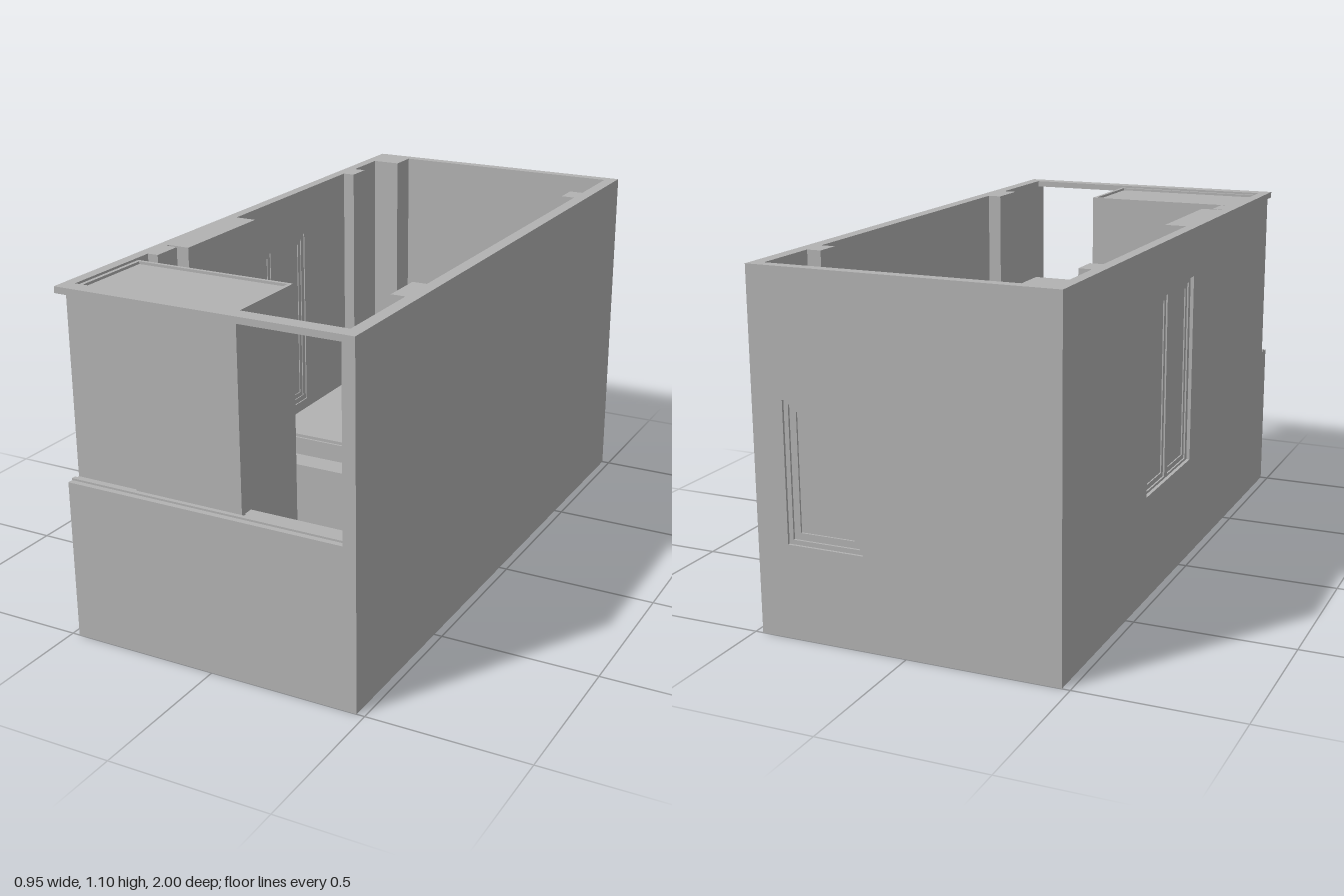
import * as THREE from 'three';

const plaster = new THREE.MeshStandardMaterial({ color: 0xb2b2b2 });
plaster.name = 'plaster grey';

const T = 0.035; // wall thickness
const H = 1.1; // wall height

function add(parent, name, geometry) {
  const mesh = new THREE.Mesh(geometry, plaster);
  mesh.name = name;
  parent.add(mesh);
  return mesh;
}

// Box given by its lower and upper corners
function block(parent, name, x0, x1, y0, y1, z0, z1) {
  const mesh = add(parent, name, new THREE.BoxGeometry(x1 - x0, y1 - y0, z1 - z0));
  mesh.position.set((x0 + x1) / 2, (y0 + y1) / 2, (z0 + z1) / 2);
  return mesh;
}

function outline(points, Type = THREE.Shape) {
  return new Type(points.map(([x, y]) => new THREE.Vector2(x, y)));
}

function rect(u0, u1, v0, v1, inset = 0) {
  return [
    [u0 + inset, v0 + inset], [u1 - inset, v0 + inset],
    [u1 - inset, v1 - inset], [u0 + inset, v1 - inset],
  ];
}

// Flat slab with holes, between two depths
function slab(parent, name, points, holes, w0, w1) {
  const shape = outline(points);
  holes.forEach((hole) => shape.holes.push(outline(hole, THREE.Path)));
  const geometry = new THREE.ExtrudeGeometry(shape, { depth: w1 - w0, bevelEnabled: false });
  geometry.translate(0, 0, w0);
  return add(parent, name, geometry);
}

// Rectangular ring
function ring(parent, name, r, outer, inner, w0, w1) {
  return slab(parent, name, rect(...r, outer), [rect(...r, inner)], w0, w1);
}

export function createModel() {
  const room = new THREE.Group();
  room.name = 'room';

  // Floor and plain walls
  block(room, 'floor', -0.475, 0.475, 0, 0.03, -1, 1);
  block(room, 'rightWall', 0.435, 0.475, 0, H, -1, 1);
  block(room, 'frontParapet', -0.475, 0.435, 0, 0.505, 0.95, 1);
  block(room, 'frontLintel', -0.475, 0.435, 1.08, H, 0.95, 1);

  // Window side wall, notched at the front; local z runs outwards
  const sideWall = new THREE.Group();
  sideWall.name = 'windowSideWall';
  sideWall.rotation.y = -Math.PI / 2;
  sideWall.position.x = -0.44;
  room.add(sideWall);
  const big = [-0.33, 0.09, 0.325, 0.945];
  slab(sideWall, 'wallPanel',
    [[-1, 0], [0.95, 0], [0.95, H], [-1, H]], [rect(...big)], 0, T);
  ring(sideWall, 'windowFrame', big, 0, 0.018, 0.004, 0.024);
  const middle = (big[0] + big[1]) / 2;
  block(sideWall, 'mullion', middle - 0.014, middle + 0.014, big[2], big[3], 0.004, 0.024);
  [[big[0] + 0.018, middle - 0.014], [middle + 0.014, big[1] - 0.018]].forEach(([u0, u1]) => {
    const sash = [u0, u1, big[2] + 0.018, big[3] - 0.018];
    ring(sideWall, 'sash', sash, 0, 0.016, 0.007, 0.019);
    slab(sideWall, 'pane', rect(...sash, 0.012), [], 0.01, 0.015);
  });
  block(sideWall, 'windowSill', big[0], big[1], big[2], big[2] + 0.01, 0.02, T);

  // Back wall with a small window
  const backWall = new THREE.Group();
  backWall.name = 'backWall';
  backWall.rotation.y = Math.PI;
  backWall.position.z = -1 + T;
  room.add(backWall);
  const small = [-0.375, -0.13, 0.29, 0.72];
  slab(backWall, 'wallPanel', rect(-0.435, 0.44, 0, H), [rect(...small)], 0, T);
  ring(backWall, 'outerFrame', small, 0, 0.014, 0.003, 0.027);
  ring(backWall, 'sash', small, 0.014, 0.035, 0.006, 0.02);
  slab(backWall, 'pane', rect(...small, 0.03), [], 0.01, 0.014);

  // Columns and pilasters: x range, z range
  [
    [-0.44, -0.345, -0.965, -0.87],
    [-0.44, -0.4, -0.71, -0.625],
    [-0.44, -0.405, 0.5, 0.6],
    [0.39, 0.435, -0.74, -0.66],
    [0.39, 0.435, 0.5, 0.635],
  ].forEach(([x0, x1, z0, z1]) => block(room, 'column', x0, x1, 0.03, H, z0, z1));

  // Raised sleeping platform with a mattress
  block(room, 'platform', -0.44, 0.435, 0.03, 0.29, -0.965, 0.145);
  block(room, 'mattress', -0.355, 0.35, 0.29, 0.35, -0.84, 0.065);
  block(room, 'mattressTop', -0.348, 0.343, 0.35, 0.36, -0.833, 0.058);

  // Low floor deck, and steps rising to the front opening
  block(room, 'deck', -0.44, 0.095, 0.03, 0.05, 0.145, 0.65);
  [[0.54, 0.655, 0.15], [0.655, 0.775, 0.28], [0.775, 0.905, 0.41]].forEach(([z0, z1, top]) =>
    block(room, 'step', 0.095, 0.435, 0.03, top, z0, z1));
  block(room, 'innerSill', 0.09, 0.435, 0.03, 0.5, 0.905, 0.95);

  // Wall unit above the window side
  block(room, 'wallUnit', -0.44, -0.37, 1.0, H, 0.105, 0.49);

  // Tall wardrobe with a rimmed top and a sliding front panel
  block(room, 'wardrobe', -0.44, 0.09, 0.03, 1.085, 0.65, 0.95);
  const rim = ring(room, 'wardrobeRim', [-0.44, 0.09, -0.95, -0.65], 0, 0.012, 0, 0.008);
  rim.rotation.x = -Math.PI / 2;
  rim.position.y = 1.085;
  block(room, 'slidingPanel', -0.255, 0.1, 0.505, 1.08, 0.95, 0.968);

  // Track along the parapet
  block(room, 'track', -0.475, 0.435, 0.505, 0.511, 0.968, 0.982);

  return room;
}
